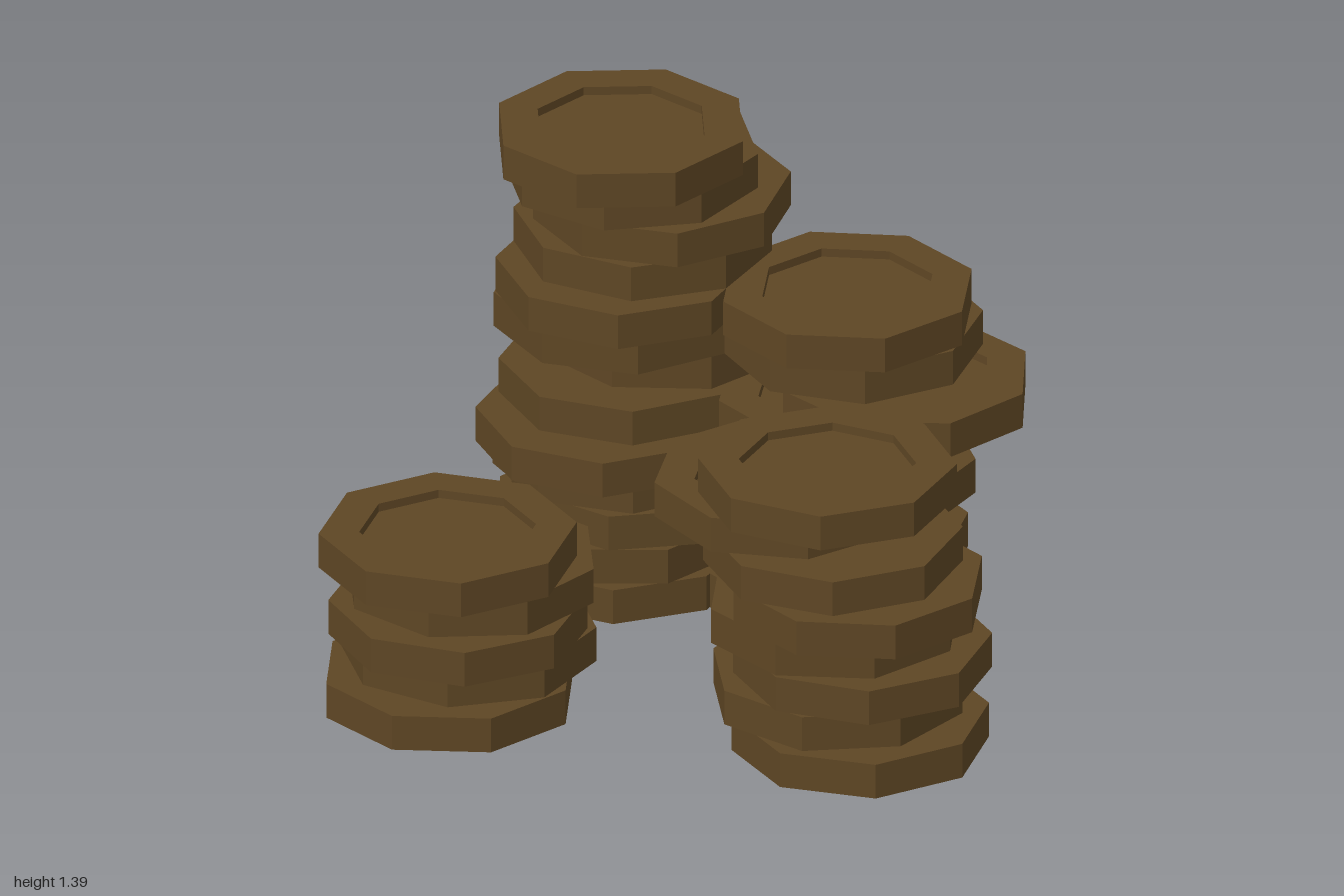
import * as THREE from 'three';

const PITCH = 0.107, H = 0.105, R = 0.365, INNER = 0.25, RECESS = 0.025;

// Each stack lists its coins from the ground up: [x, z, turn in degrees]
const STACKS = {
  backRightStack: [
    [-0.64, -0.45, 33], [-0.54, -0.46, 16], [-0.625, -0.43, 4], [-0.54, -0.45, 26], [-0.64, -0.455, 1],
  ],
  frontStack: [
    [-0.15, 0.635, 0], [-0.13, 0.54, 23], [-0.12, 0.62, 4], [-0.12, 0.52, 34],
    [-0.155, 0.63, 35], [-0.14, 0.53, 7], [-0.12, 0.33, 40], [-0.165, 0.53, 10],
  ],
  leftStack: [
    [0.595, -0.09, 37], [0.605, -0.03, 43], [0.565, -0.08, 28], [0.625, -0.02, 15], [0.585, -0.11, 40],
    [0.6, -0.01, 37], [0.605, 0.2, 31], [0.63, 0, 2], [0.595, 0.005, 35],
  ],
  backLeftStack: [
    [0.33, -0.6, 10], [0.34, -0.61, 30], [0.38, -0.575, 20], [0.37, -0.625, 2], [0.25, -0.59, 8],
    [0.38, -0.61, 5], [0.545, -0.6, 32], [0.38, -0.63, 0], [0.34, -0.59, 10],
    [0.44, -0.605, 12], [0.47, -0.56, 0], [0.425, -0.635, 19], [0.335, -0.6, 27],
  ],
};

export function createModel() {
  const model = new THREE.Group();
  model.name = 'coinStacks';
  const material = new THREE.MeshStandardMaterial({ color: 0x5e4624, flatShading: true });

  // Eight-sided coin with a raised rim on both faces
  const profile = [
    [0, RECESS], [INNER, RECESS], [INNER, 0], [R, 0],
    [R, H], [INNER, H], [INNER, H - RECESS], [0, H - RECESS],
  ].map(([r, y]) => new THREE.Vector2(r, y));
  const coinGeometry = new THREE.LatheGeometry(profile, 8);

  for (const [name, coins] of Object.entries(STACKS)) {
    const stack = new THREE.Group();
    stack.name = name;
    coins.forEach(([x, z, turn], i) => {
      const coin = new THREE.Mesh(coinGeometry, material);
      coin.name = 'coin';
      coin.position.set(x, i * PITCH, z);
      coin.rotation.y = -THREE.MathUtils.degToRad(turn);
      stack.add(coin);
    });
    model.add(stack);
  }
  return model;
}
